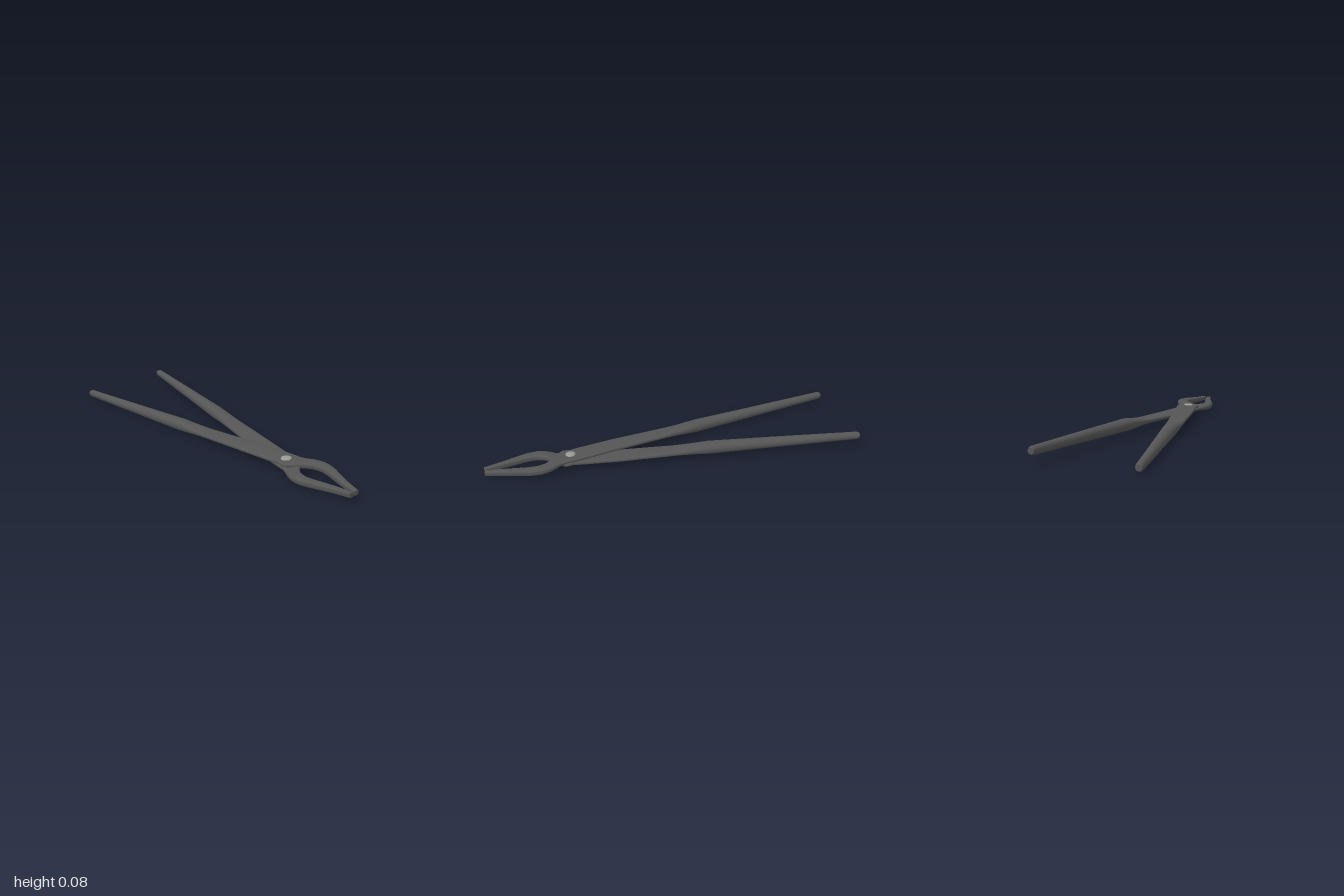
import * as THREE from 'three';

const SIDES = 32;

// Cross-sections of one half: [z, left x, right x, centre y, half height, squareness]
const HANDLE = [
  [-1.0, -0.264, -0.234, 0, 0.015, 2],
  [-0.985, -0.269, -0.229, 0, 0.021, 2],
  [-0.5, -0.203, -0.14, 0, 0.029, 2],
  [-0.18, -0.16, -0.082, 0.001, 0.033, 2.2],
  [-0.08, -0.147, -0.064, 0.002, 0.021, 2.7],
  [0.0, -0.137, -0.049, 0.004, 0.0135, 3.3],
];
const HINGE = [
  [0.3, -0.098, 0.01, 0.009, 0.009, 5],
  [0.5, -0.066, 0.05, 0.009, 0.009, 5],
  [0.545, -0.056, 0.056, 0.009, 0.009, 5],
  [0.585, -0.062, 0.061, 0.009, 0.009, 5],
];
const JAW = [
  [0.615, -0.036, 0.071, 0.008, 0.011, 4.5],
  [0.64, -0.006, 0.085, 0.0065, 0.014, 4],
  [0.66, 0.016, 0.095, 0.005, 0.016, 3.5],
  [0.69, 0.038, 0.105, 0.004, 0.0175, 3],
  [0.72, 0.048, 0.108, 0.003, 0.018, 3],
  [0.75, 0.05, 0.105, 0.003, 0.018, 3],
  [0.79, 0.045, 0.096, 0.002, 0.0175, 3.2],
  [0.85, 0.031, 0.074, 0.001, 0.016, 3.5],
  [0.92, 0.016, 0.05, 0, 0.014, 4],
  [1.0, 0.002, 0.028, 0, 0.012, 5],
];

// Skin the cross-sections into a closed body with sharp end caps
function loft(sections) {
  const pos = [], idx = [];
  const power = (v, n) => Math.sign(v) * Math.abs(v) ** (2 / n);
  const addRing = ([z, l, r, y, h, n]) => {
    const start = pos.length / 3;
    for (let j = 0; j < SIDES; j++) {
      const a = (j / SIDES) * Math.PI * 2;
      pos.push((l + r) / 2 + ((r - l) / 2) * power(Math.cos(a), n), y + h * power(Math.sin(a), n), z);
    }
    return start;
  };
  sections.forEach(addRing);
  for (let i = 0; i < sections.length - 1; i++) {
    for (let j = 0; j < SIDES; j++) {
      const k = (j + 1) % SIDES;
      const a = i * SIDES + j, b = i * SIDES + k, c = b + SIDES, d = a + SIDES;
      idx.push(a, b, c, a, c, d);
    }
  }
  const back = addRing(sections[0]);
  const front = addRing(sections[sections.length - 1]);
  for (let j = 1; j < SIDES - 1; j++) {
    idx.push(back, back + j + 1, back + j, front, front + j, front + j + 1);
  }
  const geo = new THREE.BufferGeometry();
  geo.setAttribute('position', new THREE.Float32BufferAttribute(pos, 3));
  geo.setIndex(idx);
  geo.computeVertexNormals();
  return geo;
}

export function createModel() {
  const model = new THREE.Group();
  model.name = 'tongs';
  const iron = new THREE.MeshStandardMaterial({ color: 0x555555 });
  const steel = new THREE.MeshStandardMaterial({ color: 0x999999 });

  // Two identical halves, one turned over about the long axis
  const tongs = new THREE.Group();
  tongs.name = 'tongsBody';
  const halfGeo = loft([...HANDLE, ...HINGE, ...JAW]);
  ['upperHalf', 'lowerHalf'].forEach((name, i) => {
    const half = new THREE.Mesh(halfGeo, iron);
    half.name = name;
    half.rotation.z = i * Math.PI;
    tongs.add(half);
  });

  // Rivet with a low domed head on each side
  const dome = [[0.027, 0.018], [0.0255, 0.021], [0.02, 0.0235], [0.011, 0.025], [0, 0.0255]];
  const profile = [
    ...dome.map(([r, y]) => new THREE.Vector2(r, -y)).reverse(),
    ...dome.map(([r, y]) => new THREE.Vector2(r, y)),
  ];
  const rivet = new THREE.Mesh(new THREE.LatheGeometry(profile, 32), steel);
  rivet.name = 'rivet';
  rivet.position.set(-0.005, 0, 0.55);
  tongs.add(rivet);

  // The pair rests slightly tilted
  tongs.rotation.z = 0.076;
  tongs.position.y = 0.043;
  model.add(tongs);
  return model;
}
